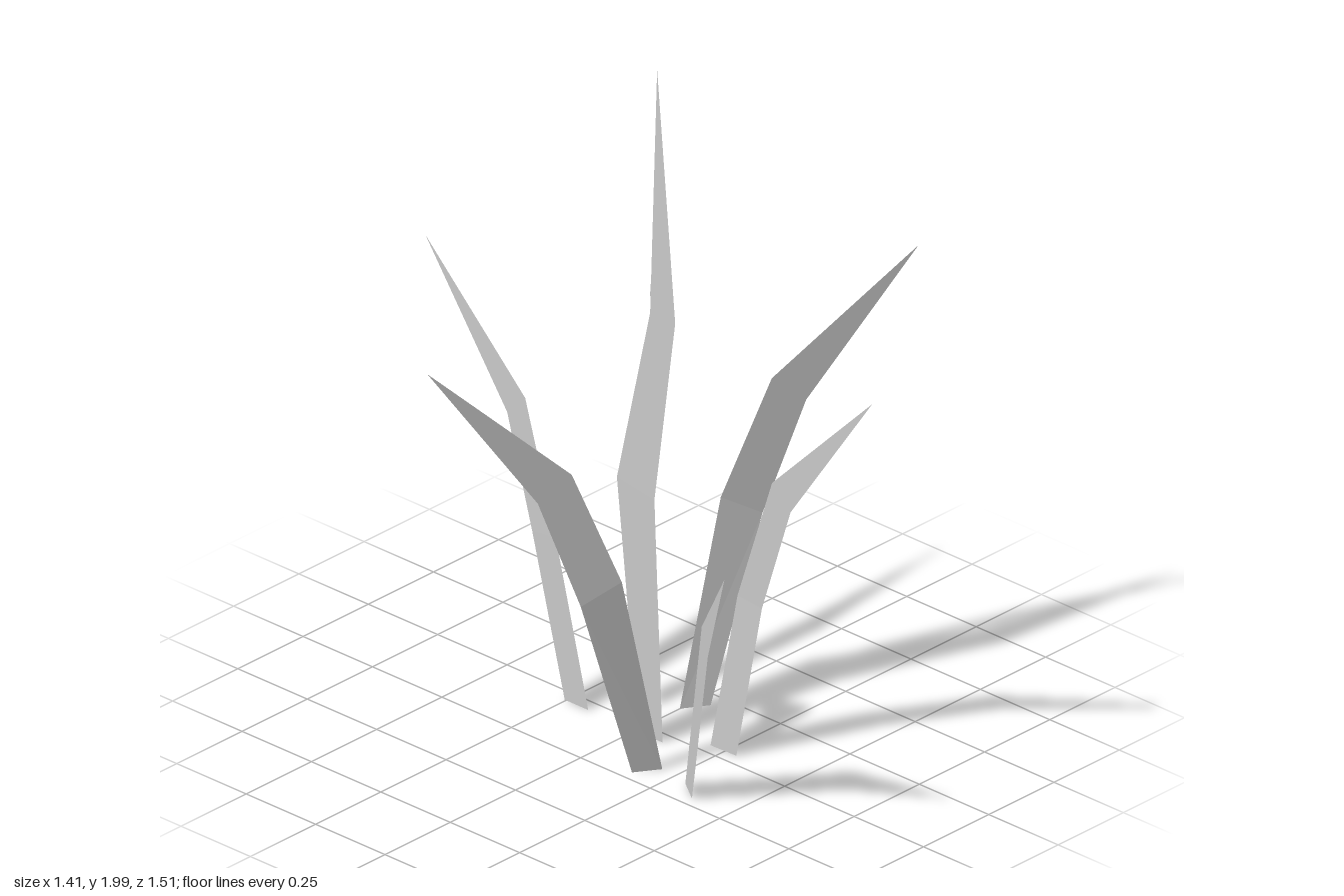
import * as THREE from 'three';

const material = new THREE.MeshStandardMaterial({
  color: 0xcccccc, flatShading: true, side: THREE.DoubleSide,
});

// A thin leaf standing in the vertical plane from root [x, z] to tip [x, y, z].
// Each row is [inner t, inner y, outer t, outer y], t running 0..1 from root to tip.
// footShift moves the foot sideways out of that plane, so the leaf bends a little.
function blade(name, root, tip, rows, footShift = [0, 0]) {
  const pos = [], index = [];
  const put = (t, y, shift) => pos.push(
    root[0] + t * (tip[0] - root[0]) + shift[0], y,
    root[1] + t * (tip[2] - root[1]) + shift[1]);
  rows.forEach(([ti, yi, to, yo], i) => {
    const shift = i === 0 ? footShift : [0, 0];
    put(ti, yi, shift);
    put(to, yo, shift);
    const a = 2 * i;
    if (i < rows.length - 1) index.push(a, a + 1, a + 3, a, a + 3, a + 2);
    else index.push(a, a + 1, a + 2);
  });
  pos.push(...tip);
  const geometry = new THREE.BufferGeometry();
  geometry.setAttribute('position', new THREE.Float32BufferAttribute(pos, 3));
  geometry.setIndex(index);
  geometry.computeVertexNormals();
  const mesh = new THREE.Mesh(geometry, material);
  mesh.name = name;
  return mesh;
}

export function createModel() {
  const group = new THREE.Group();
  group.name = 'grassTuft';

  // Wide arching side blades share one outline
  const side = [[0, 0, 0.127, 0], [0.185, 0.59, 0.357, 0.53], [0.395, 0.925, 0.537, 0.85]];
  group.add(
    blade('leftBlade', [0.153, -0.036], [0.705, 1.27, 0.32], side, [-0.023, 0.036]),
    blade('rightBlade', [-0.173, 0.235], [-0.71, 1.27, -0.12], side, [0.023, -0.035]),
  );

  // Front and back arching blades
  group.add(
    blade('frontBlade', [0.045, 0.2], [0.065, 1.2, 0.755],
      [[0, 0, 0.162, 0], [0.153, 0.47, 0.306, 0.46], [0.37, 0.845, 0.486, 0.78]], [-0.01, 0]),
    blade('backBlade', [-0.042, -0.17], [-0.042, 1.2, -0.755],
      [[0, 0, 0.145, 0], [0.197, 0.47, 0.342, 0.46], [0.385, 0.845, 0.496, 0.78]], [0.002, 0]),
  );

  // Short blades with a single bend
  group.add(
    blade('frontRightShortBlade', [-0.168, 0.3], [-0.46, 0.865, 0.715],
      [[0, 0, 0.17, 0], [0.42, 0.575, 0.575, 0.525]]),
    blade('backLeftShortBlade', [0.1, -0.055], [0.35, 1.13, -0.315],
      [[0, 0, 0.23, 0], [0.365, 0.63, 0.56, 0.57]]),
  );

  // Tall upright centre blade, leaning back and then forward
  group.add(blade('centreBlade', [-0.042, 0.01], [-0.042, 1.99, 0.08],
    [[0, 0, 1.25, 0], [-1.07, 0.73, 0.86, 0.71], [0.64, 1.26, 1.93, 1.26]], [0.002, 0]));

  return group;
}
